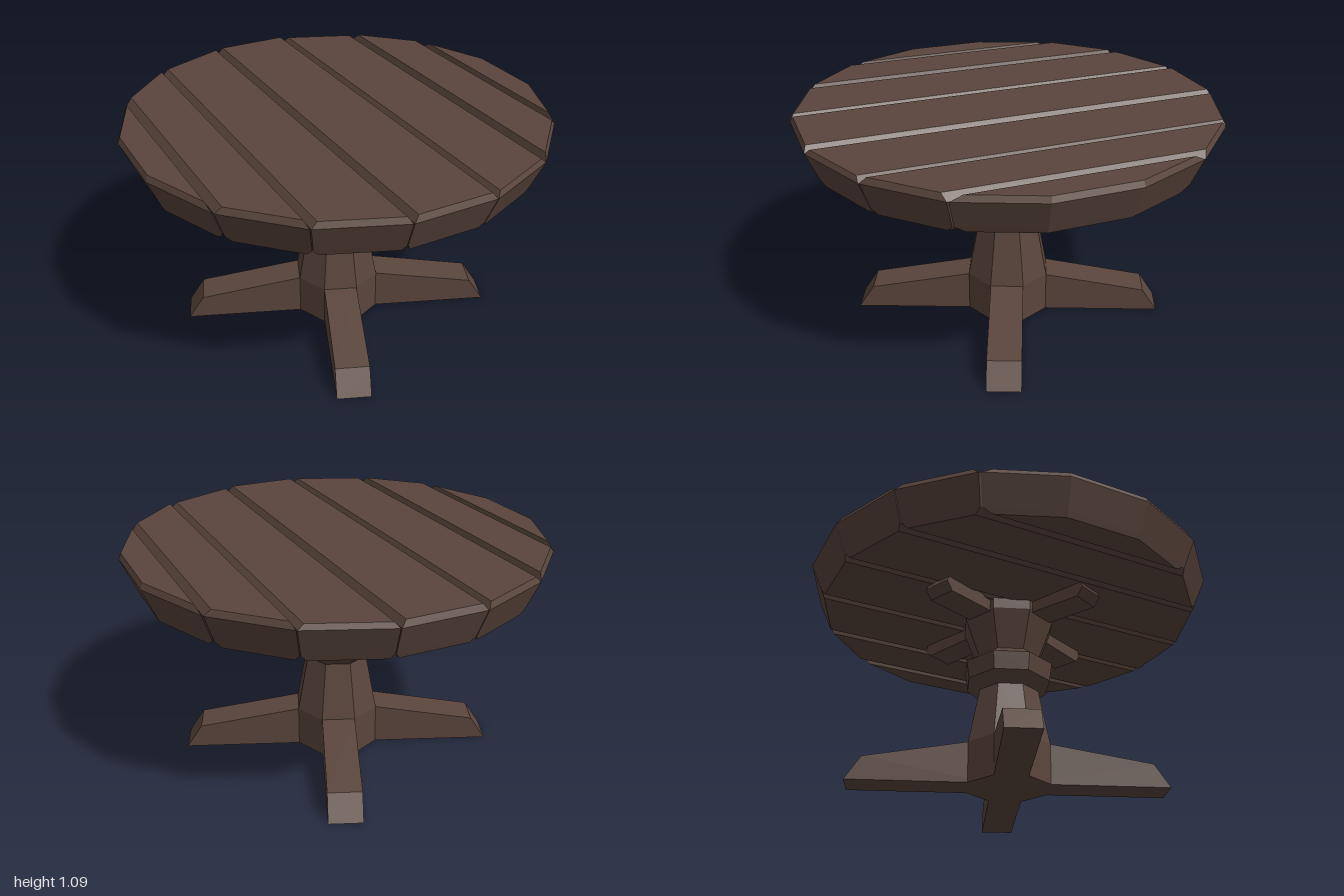
import * as THREE from 'three';
import { ConvexGeometry } from 'three/addons/geometries/ConvexGeometry.js';

const rad = THREE.MathUtils.degToRad;
const TURN = 10.4; // the whole table is turned slightly about its axis

// Split faces so that every facet is flat
function faceted(geometry) {
  const g = geometry.index ? geometry.toNonIndexed() : geometry;
  g.computeVertexNormals();
  return g;
}

// One plank of the round top: a slice between two 16-gon corners, bevelled along its seams
function plankGeometry(a, b, seamA, seamB, lift) {
  const layers = [ // y, scale of the outline, seam inset
    [0.898, 0.93, 0.02],
    [0.925, 0.942, 0.002],
    [1.06, 1.0, 0.002],
    [1.087 + lift, 0.988, 0.022],
  ];
  const points = [];
  for (const [y, s, inset] of layers) {
    const slope = (b.v - a.v) / (b.u - a.u);
    const u0 = a.u + (seamA ? inset : 0);
    const u1 = b.u - (seamB ? inset : 0);
    for (const u of [u0, u1]) {
      const v = a.v + (u - a.u) * slope;
      points.push(new THREE.Vector3(u * s, y, v * s), new THREE.Vector3(u * s, y, -v * s));
    }
  }
  return faceted(new ConvexGeometry(points));
}

// A radial beam: side profile of [radius, height] points with a constant width
function beamGeometry(profile, width) {
  const shape = new THREE.Shape(profile.map(([r, y]) => new THREE.Vector2(r, y)));
  const g = new THREE.ExtrudeGeometry(shape, { depth: width, bevelEnabled: false });
  g.translate(0, 0, -width / 2);
  return faceted(g);
}

export function createModel() {
  const table = new THREE.Group();
  table.name = 'roundTable';
  const wood = new THREE.MeshStandardMaterial({ color: 0x5a453c });
  wood.name = 'dark brown wood';

  const add = (parent, name, geometry, angle = 0) => {
    const mesh = new THREE.Mesh(geometry, wood);
    mesh.name = name;
    mesh.rotation.y = -rad(angle);
    parent.add(mesh);
    return mesh;
  };

  // Tabletop made of seven planks
  const top = new THREE.Group();
  top.name = 'tabletop';
  top.rotation.y = -rad(TURN);
  table.add(top);
  const corners = [];
  for (let i = 0; i < 8; i++) {
    const t = rad(168.75 - i * 22.5);
    corners.push({ u: Math.cos(t), v: Math.sin(t) });
  }
  const lifts = [0, 0.003, 0, 0.002, -0.004, 0.002, 0];
  for (let i = 0; i < 7; i++) {
    add(top, 'plank' + (i + 1),
      plankGeometry(corners[i], corners[i + 1], i > 0, i < 6, lifts[i]));
  }

  // Octagonal pedestal with a collar
  const profile = [
    [0, 0], [0.21, 0], [0.21, 0.2], [0.155, 0.48], [0.213, 0.53],
    [0.226, 0.62], [0.162, 0.665], [0.235, 0.85], [0.235, 0.905], [0, 0.905],
  ].map(([r, y]) => new THREE.Vector2(r, y));
  add(table, 'pedestal', faceted(new THREE.LatheGeometry(profile, 8, rad(80))));

  // Four feet and, between them, four braces under the top
  const foot = beamGeometry([[0.1, 0], [0.76, 0], [0.685, 0.115], [0.19, 0.2], [0.1, 0.2]], 0.16);
  const brace = beamGeometry([[0.1, 0.845], [0.485, 0.83], [0.52, 0.872], [0.5, 0.91], [0.1, 0.91]], 0.14);
  for (let i = 0; i < 4; i++) {
    add(table, 'foot' + (i + 1), foot, 32.5 + i * 90);
    add(table, 'brace' + (i + 1), brace, 77.5 + i * 90);
  }
  return table;
}
